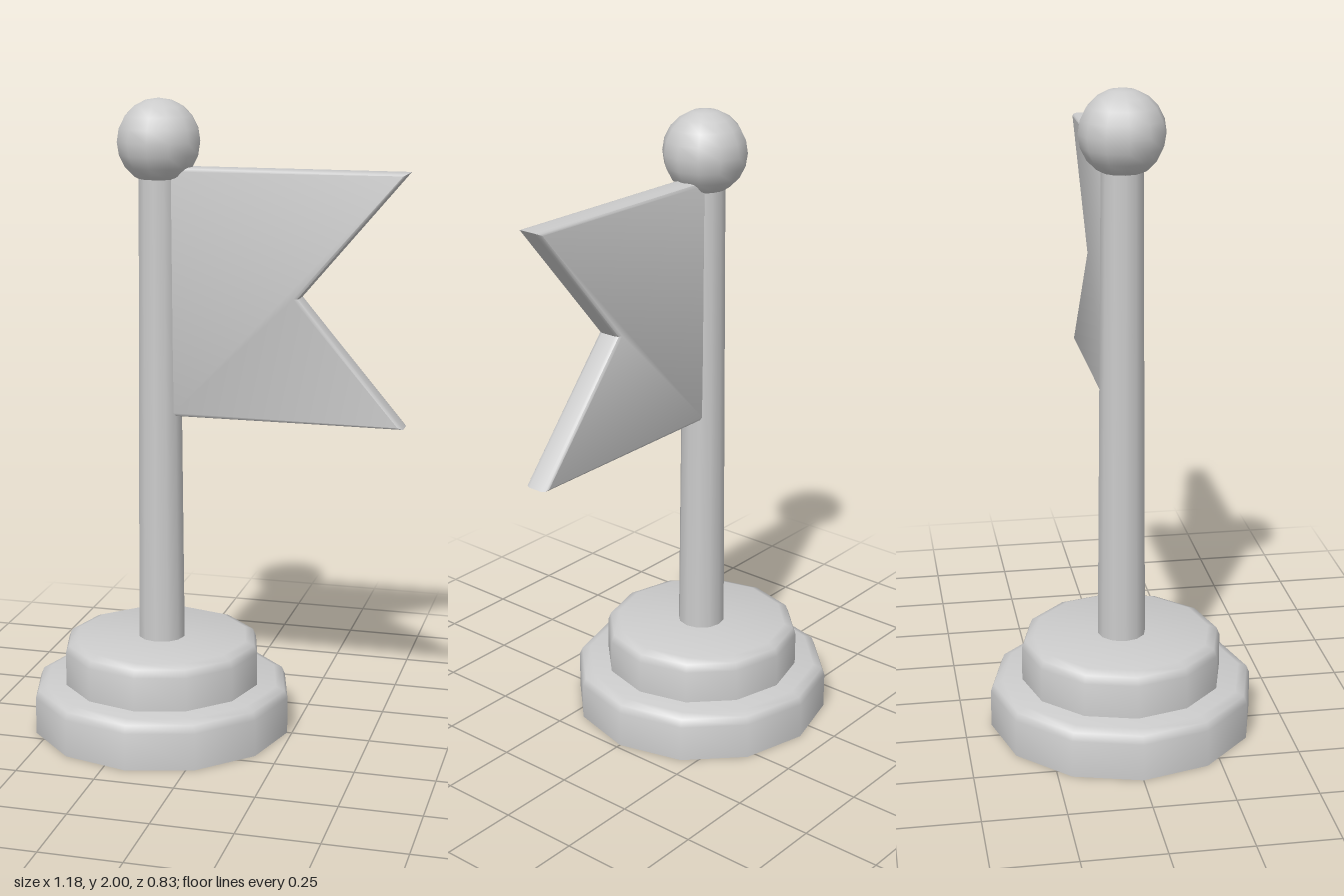
import * as THREE from 'three';
import { toCreasedNormals } from 'three/addons/utils/BufferGeometryUtils.js';

const material = new THREE.MeshStandardMaterial({ color: 0xcccccc });
const SIDES = 12;
const POLE_X = -0.18;

function part(name, geometry, x = 0, y = 0, z = 0) {
  const mesh = new THREE.Mesh(geometry, material);
  mesh.name = name;
  mesh.position.set(x, y, z);
  return mesh;
}

// Round disc with a softened top rim
function disc(radius, height) {
  const profile = [
    [0, 0], [radius, 0], [radius, height - 0.035], [radius - 0.01, height - 0.011],
    [radius - 0.038, height], [0, height],
  ].map(([r, y]) => new THREE.Vector2(r, y));
  return toCreasedNormals(new THREE.LatheGeometry(profile, SIDES), 0.9);
}

// Swallow-tailed pennant with bevelled edges
function pennant() {
  const bevel = 0.012, edge = 0.015, thickness = 0.08;
  const shape = new THREE.Shape([
    [-0.14, 1.025], [0.59, 1.025], [0.265, 1.41], [0.59, 1.795], [-0.14, 1.795],
  ].map(([x, y]) => new THREE.Vector2(x, y)));
  const geometry = new THREE.ExtrudeGeometry(shape, {
    depth: thickness - 2 * edge,
    bevelEnabled: true,
    bevelSize: bevel,
    bevelOffset: -bevel,
    bevelThickness: edge,
    bevelSegments: 2,
  });
  geometry.translate(0, 0, edge - thickness / 2);
  return toCreasedNormals(geometry, 0.9);
}

export function createModel() {
  const model = new THREE.Group();
  model.name = 'flagOnStand';

  // Stepped stand
  model.add(part('lowerBase', disc(0.415, 0.153), POLE_X, 0));
  model.add(part('upperBase', disc(0.315, 0.155), POLE_X, 0.14));

  // Slightly tapered pole
  const pole = new THREE.CylinderGeometry(0.063, 0.075, 1.53, SIDES);
  model.add(part('pole', pole, POLE_X, 0.28 + 1.53 / 2));

  // Ball on top
  model.add(part('finial', new THREE.SphereGeometry(0.13, SIDES, 10), POLE_X, 1.87));

  model.add(part('flag', pennant()));
  return model;
}
